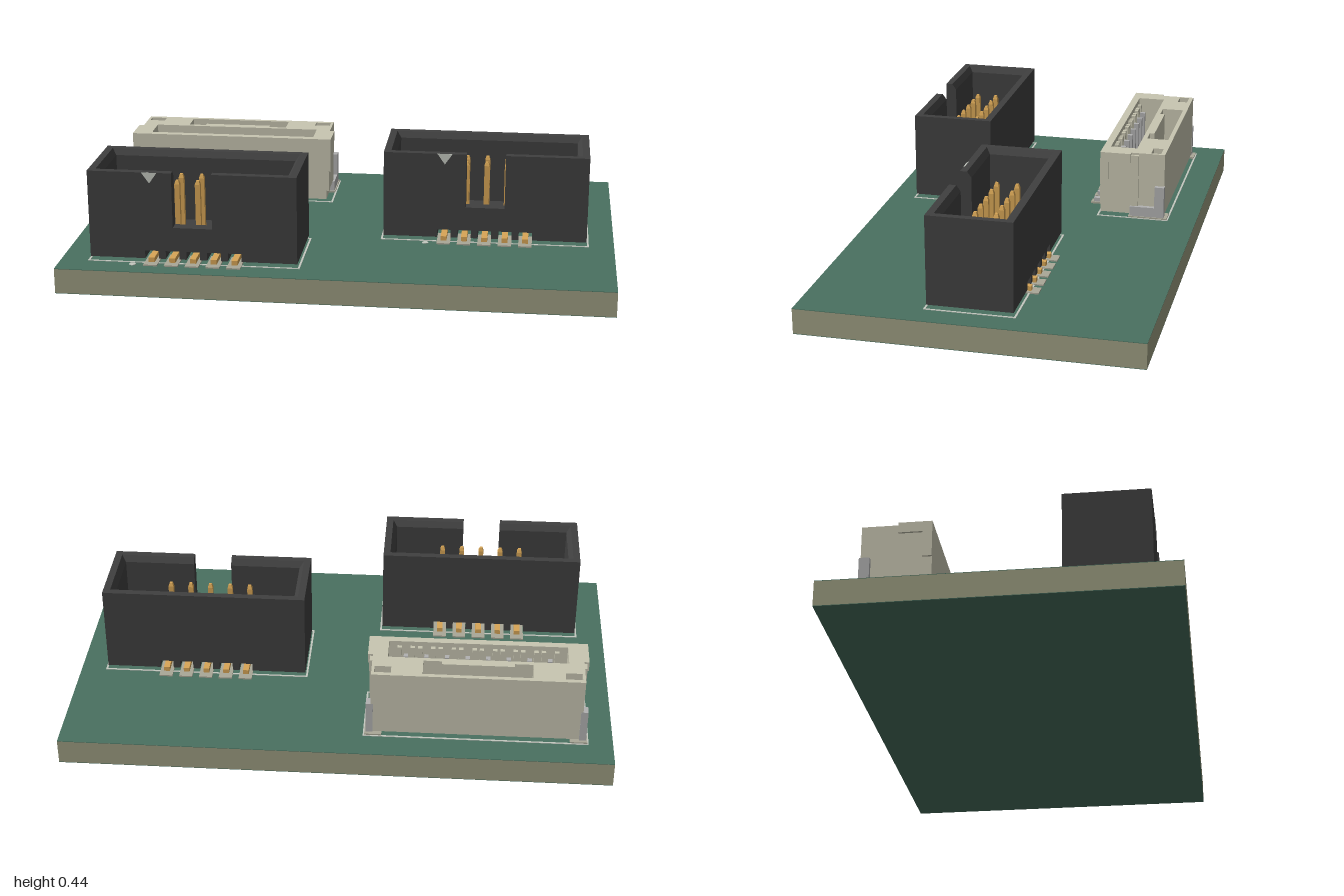
import * as THREE from 'three';

const mat = (color) => new THREE.MeshStandardMaterial({ color, flatShading: true });
const M = {
  core: mat(0x9b9c80), mask: mat(0x4a7160), black: mat(0x404040), gold: mat(0xd8a656),
  cream: mat(0xc8c6b2), metal: mat(0xb2b2b2), pad: mat(0xaaa898), silk: mat(0xc4c8c0),
};
const TOP = 0.095, PITCH = 0.0757;

function add(parent, name, geo, m) {
  const mesh = new THREE.Mesh(geo, m);
  mesh.name = name;
  parent.add(mesh);
  return mesh;
}

// Box from its limits on each axis
function box(parent, name, m, x0, x1, y0, y1, z0, z1) {
  const g = new THREE.BoxGeometry(x1 - x0, y1 - y0, z1 - z0);
  g.translate((x0 + x1) / 2, (y0 + y1) / 2, (z0 + z1) / 2);
  return add(parent, name, g, m);
}

const polygon = (pts) => new THREE.Shape(pts.map(([a, b]) => new THREE.Vector2(a, b)));

// Profile in (z, y) swept along x from x0 to x1
function sweepX(parent, name, m, pts, x0, x1) {
  const g = new THREE.ExtrudeGeometry(polygon(pts), { depth: x1 - x0, bevelEnabled: false });
  g.rotateY(-Math.PI / 2);          // (a, b, d) -> (-d, b, a)
  g.translate(x1, 0, 0);
  return add(parent, name, g, m);
}

// Profile in (x, y) swept along z from z0 to z1
function sweepZ(parent, name, m, pts, z0, z1) {
  const g = new THREE.ExtrudeGeometry(polygon(pts), { depth: z1 - z0, bevelEnabled: false });
  g.translate(0, 0, z0);
  return add(parent, name, g, m);
}

// Thin printed rectangle outline on the board
function outline(parent, x0, x1, z0, z1) {
  const w = 0.007, a = TOP, b = TOP + 0.002;
  for (const z of [z0, z1 - w]) box(parent, 'printedOutline', M.silk, x0, x1, a, b, z, z + w);
  for (const x of [x0, x1 - w]) box(parent, 'printedOutline', M.silk, x, x + w, a, b, z0, z1);
}

// Shrouded ten-pin header, keyed on its front wall
function makeHeader(cx, cz) {
  const g = new THREE.Group();
  g.name = 'boxHeader';
  g.position.set(cx, 0, cz);
  const W = 0.378, D = 0.153, y0 = 0.11, yf = 0.14, y1 = 0.435, key = 0.072;

  // Walls with a chamfered inner rim; s mirrors the section
  const section = (s, edge) => [
    [s * edge, y0], [s * edge, y1], [s * (edge - 0.026), y1],
    [s * (edge - 0.042), y1 - 0.022], [s * (edge - 0.042), y0],
  ];
  sweepX(g, 'backWall', M.black, section(-1, D).map(([z, y]) => [z, Math.max(y, yf)]), -W, W);
  for (const s of [-1, 1]) {
    sweepZ(g, 'endWall', M.black, section(s, W), -D, D);
    const [a, b] = s < 0 ? [-W, -key] : [key, W];
    sweepX(g, 'frontWall', M.black, section(1, D).map(([z, y]) => [z, Math.max(y, yf)]), a, b);
  }
  box(g, 'keyedWall', M.black, -key, key, yf, 0.23, D - 0.042, D);
  box(g, 'floor', M.black, -W, W, yf, 0.17, -D, D);

  // Underside blocks leaving a channel for every pin
  const slot = 0.025;
  for (let i = 0; i <= 5; i++) {
    const a = i === 0 ? -W : (i - 3) * PITCH + slot;
    const b = i === 5 ? W : (i - 2) * PITCH - slot;
    box(g, 'undersideBlock', M.black, a, b, y0, yf, -D, D);
  }

  // Pin one marker
  sweepZ(g, 'pinOneMarker', M.silk, [[-0.18, y1], [-0.152, 0.395], [-0.124, y1]], D - 0.004, D + 0.001);

  // Pins with pointed tips, bent feet and solder pads
  for (let i = -2; i <= 2; i++) for (const s of [-1, 1]) {
    const x = i * PITCH, z = s * 0.038, r = 0.0095;
    box(g, 'pin', M.gold, x - r, x + r, 0.115, 0.36, z - r, z + r);
    const tip = new THREE.CylinderGeometry(r * 0.75, r * 1.414, 0.014, 4);
    tip.rotateY(Math.PI / 4).translate(x, 0.367, z);
    add(g, 'pinTip', tip, M.gold);
    const foot = [[0.03, 0.118], [0.03, 0.136], [0.055, 0.136], [0.09, 0.117],
      [0.163, 0.117], [0.163, 0.1], [0.08, 0.1], [0.05, 0.118]];
    sweepX(g, 'pinFoot', M.gold, foot.map(([a, y]) => [s * a, y]), x - 0.011, x + 0.011);
    const [p, q] = s < 0 ? [-0.192, -0.08] : [0.08, 0.192];
    box(g, 'solderPad', M.pad, x - 0.025, x + 0.025, TOP, 0.1, p, q);
  }
  outline(g, -W - 0.009, W + 0.009, -D - 0.009, D + 0.009);
  const dot = new THREE.CylinderGeometry(0.012, 0.012, 0.002, 16);
  dot.translate(-0.218, TOP + 0.001, 0.18);
  add(g, 'pinOneDot', dot, M.silk);
  return g;
}

// Eight-way wire socket, with its cavity open upwards
function makeSocket(cx) {
  const g = new THREE.Group();
  g.name = 'wireSocket';
  g.position.x = cx;
  const y0 = 0.105, y1 = 0.353, W = 0.38;

  // Housing plan in (x, -z) with its openings
  const plan = polygon([[-W, 0.237], [W, 0.237], [W, 0.485], [-W, 0.485]]);
  const rect = (xa, xb, a, b) => [[xa, a], [xa, b], [xb, b], [xb, a]];
  const openings = [
    rect(-0.325, 0.325, 0.265, 0.368),
    [[-0.197, 0.385], [-0.197, 0.468], [0.197, 0.468], [0.197, 0.385],
      [0.13, 0.385], [0.13, 0.403], [-0.13, 0.403], [-0.13, 0.385]],
    rect(-0.37, -0.31, 0.43, 0.468), rect(0.31, 0.37, 0.43, 0.468),
  ];
  for (const o of openings) plan.holes.push(new THREE.Path(o.map(([a, b]) => new THREE.Vector2(a, b))));
  const shell = new THREE.ExtrudeGeometry(plan, { depth: y1 - y0, bevelEnabled: false });
  shell.rotateX(-Math.PI / 2).translate(0, y0, 0);
  add(g, 'housing', shell, M.cream);
  box(g, 'cavityFloor', M.cream, -0.33, 0.33, y0, 0.17, -0.37, -0.26);

  for (const s of [-1, 1]) {
    const span = (a, b) => (s < 0 ? [-b, -a] : [a, b]);
    box(g, 'pocketFloor', M.cream, ...span(0.305, 0.375), y0, 0.3, -0.47, -0.425);
    // Stepped end cheek, corner lug and metal anchor
    sweepX(g, 'endCheek', M.cream, [[-0.237, 0.14], [-0.237, 0.22], [-0.27, 0.22], [-0.27, 0.315],
      [-0.355, 0.315], [-0.355, 0.345], [-0.385, 0.345], [-0.385, 0.14]], ...span(0.375, 0.39));
    sweepX(g, 'cornerLug', M.cream, [[-0.237, 0.22], [-0.237, y1], [-0.355, y1], [-0.355, 0.315],
      [-0.27, 0.315], [-0.27, 0.22]], ...span(0.375, 0.398));
    sweepX(g, 'anchorTab', M.metal, [[-0.355, 0.102], [-0.355, 0.14], [-0.45, 0.14], [-0.45, 0.225],
      [-0.487, 0.225], [-0.487, 0.102]], ...span(0.372, 0.398));
    box(g, 'anchorPad', M.pad, ...span(0.34, 0.402), TOP, 0.102, -0.5, -0.35);
  }

  // Contacts, cavity ribs and leads
  for (let i = 0; i < 8; i++) {
    const x = (i - 3.5) * 0.075;
    box(g, 'contact', M.metal, x - 0.008, x + 0.008, 0.16, 0.31, -0.3, -0.28);
    box(g, 'contactSpring', M.metal, x - 0.008, x + 0.008, 0.16, 0.31, -0.36, -0.347);
    for (const e of [-1, 1]) {
      const c = x + e * 0.024;
      box(g, 'cavityRib', M.cream, c - 0.008, c + 0.008, 0.16, 0.335, -0.28, -0.26);
    }
    sweepX(g, 'lead', M.metal, [[-0.19, 0.102], [-0.19, 0.117], [-0.228, 0.117], [-0.228, 0.14],
      [-0.29, 0.14], [-0.29, 0.125], [-0.245, 0.125], [-0.245, 0.102]], x - 0.011, x + 0.011);
    box(g, 'solderPad', M.pad, x - 0.017, x + 0.017, TOP, 0.102, -0.245, -0.18);
  }
  outline(g, -0.407, 0.407, -0.505, -0.228);
  return g;
}

export function createModel() {
  const model = new THREE.Group();
  model.name = 'adapterBoard';
  // Board core between two thin coats
  box(model, 'boardCore', M.core, -1, 1, 0.002, TOP - 0.002, -0.612, 0.612);
  box(model, 'bottomCoat', M.mask, -1, 1, 0, 0.002, -0.612, 0.612);
  box(model, 'topCoat', M.mask, -1, 1, TOP - 0.002, TOP, -0.612, 0.612);
  model.add(makeHeader(-0.512, 0.357), makeHeader(0.52, 0.013), makeSocket(-0.505));
  return model;
}
